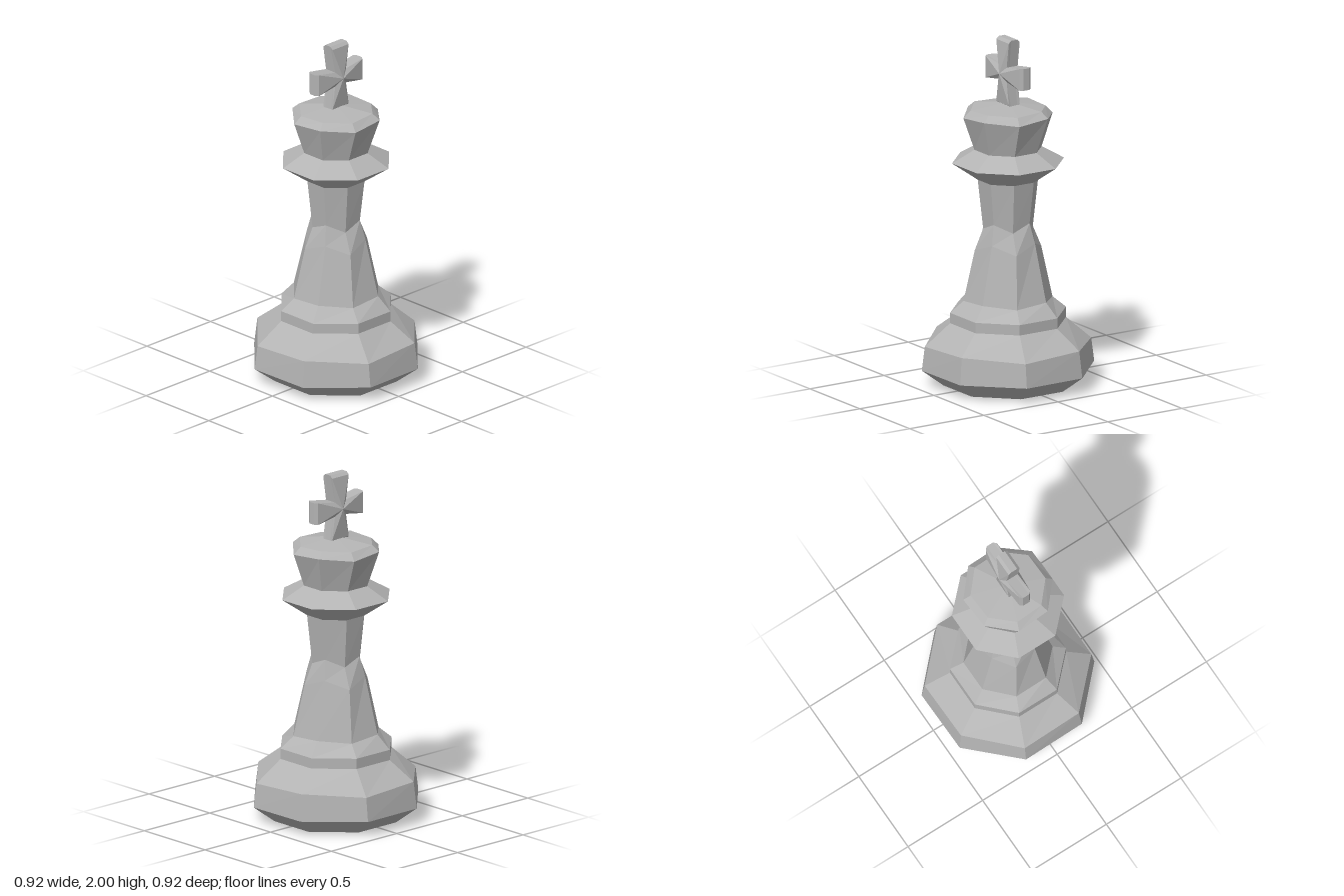
import * as THREE from 'three';

const stone = new THREE.MeshStandardMaterial({ color: 0xb4b4b4, flatShading: true });
stone.name = 'grey stone';

// Skin a stack of closed loops with flat facets, optionally closed to a point at either end
function loft(name, loops, startTip, endTip) {
  const pos = [];
  const tri = (a, b, c) => pos.push(...a, ...b, ...c);
  const n = loops[0].length;
  for (let i = 0; i < n; i++) {
    const k = (i + 1) % n;
    for (let j = 0; j < loops.length - 1; j++) {
      const lo = loops[j], hi = loops[j + 1];
      tri(lo[i], lo[k], hi[k]);
      tri(lo[i], hi[k], hi[i]);
    }
    const last = loops[loops.length - 1];
    if (startTip) tri(startTip, loops[0][k], loops[0][i]);
    if (endTip) tri(endTip, last[i], last[k]);
  }
  const geo = new THREE.BufferGeometry();
  geo.setAttribute('position', new THREE.Float32BufferAttribute(pos, 3));
  geo.computeVertexNormals();
  const mesh = new THREE.Mesh(geo, stone);
  mesh.name = name;
  return mesh;
}

// Eight-sided ring whose corners alternate slightly in height and radius
function ring(yEven, rEven, yOdd = yEven, rOdd = rEven, twist = 0) {
  return Array.from({ length: 8 }, (_, i) => {
    const t = THREE.MathUtils.degToRad(22.5 + 45 * i + twist);
    const r = i % 2 ? rOdd : rEven;
    return [r * Math.cos(t), i % 2 ? yOdd : yEven, -r * Math.sin(t)];
  });
}

// Outline of the flared cross at depth z, with arm ends pulled in by inset
function crossLoop(z, inset) {
  const lengths = [0.185, 0.2, 0.185, 0.19];
  return lengths.flatMap((len, k) => {
    const c = [1, 0, -1, 0][k], s = [0, 1, 0, -1][k];
    const at = (u, v) => [u * c - v * s, 1.8 + u * s + v * c, z];
    return [at(0.042, -0.042), at(len - inset, -0.063), at(len - inset, 0.063)];
  });
}

export function createModel() {
  const group = new THREE.Group();
  group.name = 'chessKing';

  // Shared rings where neighbouring parts meet
  const collarLow = ring(0.36, 0.331);
  const collarTop = ring(0.42, 0.331);
  const neckTop = ring(1.185, 0.173, 1.185, 0.173);
  const crownLow = ring(1.36, 0.192);

  group.add(
    loft('base', [
      ring(0, 0.368),
      ring(0.095, 0.494, 0.095, 0.494, 0.9),
      ring(0.25, 0.476, 0.232, 0.476, 0.5),
      collarLow,
    ], [0, 0, 0]),
    loft('collar', [collarLow, collarTop]),
    loft('shaft', [
      collarTop,
      ring(0.5, 0.256, 0.485, 0.254),
      ring(0.83, 0.175, 0.78, 0.192, 3),
      ring(0.945, 0.145, 0.9, 0.142),
      neckTop,
    ]),
    loft('flange', [neckTop, ring(1.287, 0.32), crownLow]),
    loft('crown', [
      crownLow,
      ring(1.565, 0.26, 1.55, 0.258, 3),
      ring(1.6, 0.218, 1.592, 0.216, 3),
    ], null, [0, 1.63, 0]),
    loft('cross', [
      crossLoop(-0.037, 0.015),
      crossLoop(-0.02, 0),
      crossLoop(0.02, 0),
      crossLoop(0.037, 0.015),
    ], [0, 1.8, -0.06], [0, 1.8, 0.06]),
  );
  return group;
}
